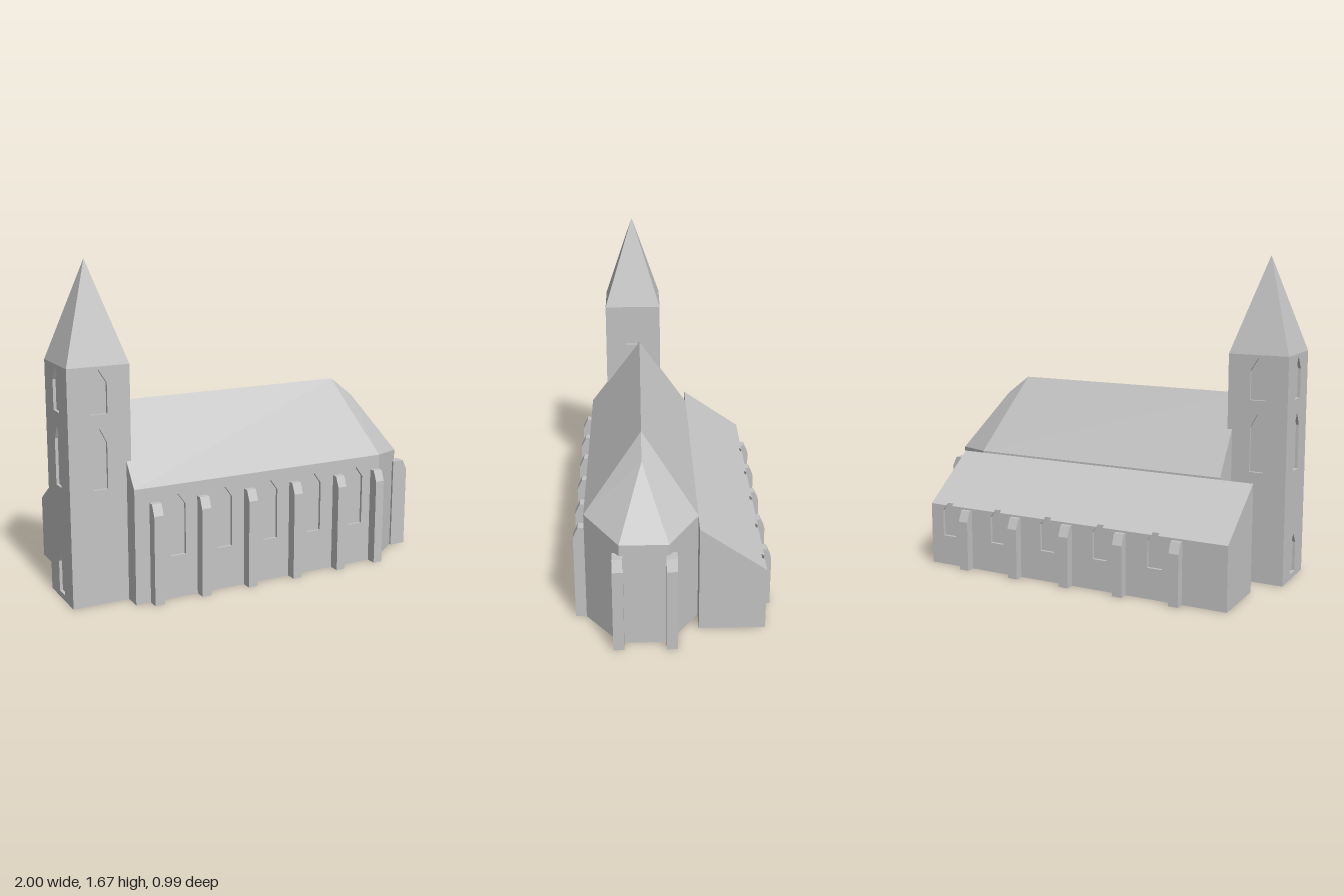
import * as THREE from 'three';

const stone = new THREE.MeshStandardMaterial({ color: 0xc4c4c4 });
stone.name = 'pale stone';
const T = 0.015; // depth of the window recesses

function add(parent, name, geometry) {
  const mesh = new THREE.Mesh(geometry, stone);
  mesh.name = name;
  parent.add(mesh);
  return mesh;
}

// Flat-faced solid from corner points and polygon loops
function solid(points, faces) {
  const pos = [];
  for (const f of faces)
    for (let i = 1; i < f.length - 1; i++)
      pos.push(...points[f[0]], ...points[f[i]], ...points[f[i + 1]]);
  const g = new THREE.BufferGeometry();
  g.setAttribute('position', new THREE.Float32BufferAttribute(pos, 3));
  g.computeVertexNormals();
  return g;
}

const outline = (pts) => new THREE.Shape(pts.map(([x, y]) => new THREE.Vector2(x, y)));

// Pointed lancet opening
const lancet = (x, w, sill, shoulder, tip) => outline([
  [x - w / 2, sill], [x + w / 2, sill], [x + w / 2, shoulder], [x, tip], [x - w / 2, shoulder]]);

// Wall skin with openings; its outer face lies on local z = 0
function wallSkin(shape, holes = []) {
  shape.holes.push(...holes);
  return new THREE.ExtrudeGeometry(shape, { depth: T, bevelEnabled: false }).translate(0, 0, -T);
}

const rect = (x0, x1, h) => outline([[x0, 0], [x1, 0], [x1, h], [x0, h]]);

// Buttress projecting along local +x, with a sloped outer top
function buttress(parent, x, z, angle, w, d, h) {
  const s = outline([[-0.03, 0], [d, 0], [d, h - 0.055], [d - 0.025, h], [-0.03, h]]);
  const g = new THREE.ExtrudeGeometry(s, { depth: w, bevelEnabled: false }).translate(0, 0, -w / 2);
  const m = add(parent, 'buttress', g);
  m.position.set(x, 0, z);
  m.rotation.y = angle;
}

function makeTower() {
  const tower = new THREE.Group();
  tower.name = 'tower';
  const W = 0.315, H = 1.18;
  add(tower, 'towerCore', new THREE.BoxGeometry(W - 2 * T, H, W - 2 * T).translate(0, H / 2, 0));

  // Four skins: front, right-hand end, back, left-hand end
  const upper = () => lancet(0, 0.082, 0.95, 1.1, 1.165);
  const middle = () => lancet(0, 0.072, 0.58, 0.81, 0.88);
  const door = () => lancet(0, 0.075, 0.03, 0.185, 0.24);
  const openings = [[upper(), middle()], [upper()], [upper(), middle()], [upper(), middle(), door()]];
  openings.forEach((holes, i) => {
    const g = wallSkin(rect(-W / 2, W / 2, H), holes).translate(0, 0, W / 2);
    add(tower, 'towerWall', g).rotation.y = i * Math.PI / 2;
  });

  // Pyramid spire
  const spire = new THREE.ConeGeometry(W / Math.SQRT2, 0.49, 4).toNonIndexed();
  spire.computeVertexNormals();
  spire.rotateY(Math.PI / 4).translate(0, H + 0.245, 0);
  add(tower, 'spire', spire);
  tower.position.set(-0.8425, 0, 0.1925);
  return tower;
}

function makeNave() {
  const nave = new THREE.Group();
  nave.name = 'nave';
  const plan = [[-0.71, 0.44, 0.585], [0.71, 0.44, 0.585], [0.94, 0.267, 0.545],
    [0.94, 0.03, 0.545], [0.71, -0.12, 0.57], [-0.71, -0.12, 0.57]];
  const pts = [
    ...plan.map(([x, z]) => [x, 0, z]),
    ...plan.map(([x, z, eave]) => [x, eave, z]),
    [-0.71, 0.965, 0.155], [0.58, 0.965, 0.155], [0.71, 0.865, 0.155]];
  // Walls, gable and floor; the front wall is a separate skin
  add(nave, 'naveWalls', solid(pts, [
    [1, 2, 8, 7], [2, 3, 9, 8], [3, 4, 10, 9], [4, 5, 11, 10],
    [5, 0, 6, 12, 11], [5, 4, 3, 2, 1, 0]]));
  // Pitched roof with faceted apse end
  add(nave, 'naveRoof', solid(pts, [
    [6, 7, 13, 12], [7, 14, 13], [7, 8, 14], [8, 9, 14],
    [9, 10, 14], [10, 13, 14], [10, 11, 12, 13]]));

  // Front wall with recessed windows
  const windows = [-0.48, -0.222, 0.04, 0.302, 0.565]
    .map((x) => lancet(x, 0.08, 0.22, 0.48, 0.535));
  add(nave, 'frontWall', wallSkin(rect(-0.71, 0.71, 0.585), windows)).position.z = 0.44;
  add(nave, 'windowBacking', new THREE.PlaneGeometry(1.42, 0.585)).position.set(0, 0.2925, 0.44 - T);

  for (const x of [-0.607, -0.351, -0.088, 0.176, 0.443, 0.682])
    buttress(nave, x, 0.44, -Math.PI / 2, 0.05, 0.055, 0.51);
  for (const z of [0.275, 0.017])
    buttress(nave, 0.94, z, 0, 0.053, 0.06, 0.488);
  return nave;
}

function makeAisle() {
  const aisle = new THREE.Group();
  aisle.name = 'sideAisle';
  const x0 = -0.885, x1 = 0.83, zi = -0.12, zo = -0.45 + T, eave = 0.33, lip = 0.34;
  // Lean-to body
  const pts = [];
  for (const x of [x0, x1]) pts.push([x, 0, zi], [x, 0, zo], [x, lip, zo], [x, 0.56, zi]);
  add(aisle, 'aisleBody', solid(pts, [
    [1, 0, 3, 2], [4, 5, 6, 7], [5, 1, 2, 6], [0, 4, 7, 3], [6, 2, 3, 7], [0, 1, 5, 4]]));

  // Outer wall skin; the window heads cut through the eave
  const half = 0.04, cut = 0.018, shoulder = 0.3, sill = 0.16;
  const edge = [[x0, 0], [x1, 0], [x1, eave]];
  for (const x of [0.715, 0.41, 0.105, -0.2, -0.505])
    edge.push([x + cut, eave], [x + half, shoulder], [x + half, sill],
      [x - half, sill], [x - half, shoulder], [x - cut, eave]);
  edge.push([x0, eave]);
  const skin = new THREE.ExtrudeGeometry(outline(edge), { depth: T, bevelEnabled: false });
  // Tilt the top edge to follow the roof slope
  const p = skin.attributes.position;
  for (let i = 0; i < p.count; i++)
    if (p.getY(i) > eave - 0.001 && p.getZ(i) > T / 2) p.setY(i, lip);
  skin.computeVertexNormals();
  add(aisle, 'aisleWall', skin).position.z = -0.45;

  for (const x of [-0.625, -0.32, -0.015, 0.29, 0.595])
    buttress(aisle, x, -0.45, Math.PI / 2, 0.053, 0.046, 0.32);
  return aisle;
}

export function createModel() {
  const church = new THREE.Group();
  church.name = 'church';
  church.add(makeTower(), makeNave(), makeAisle());
  return church;
}
